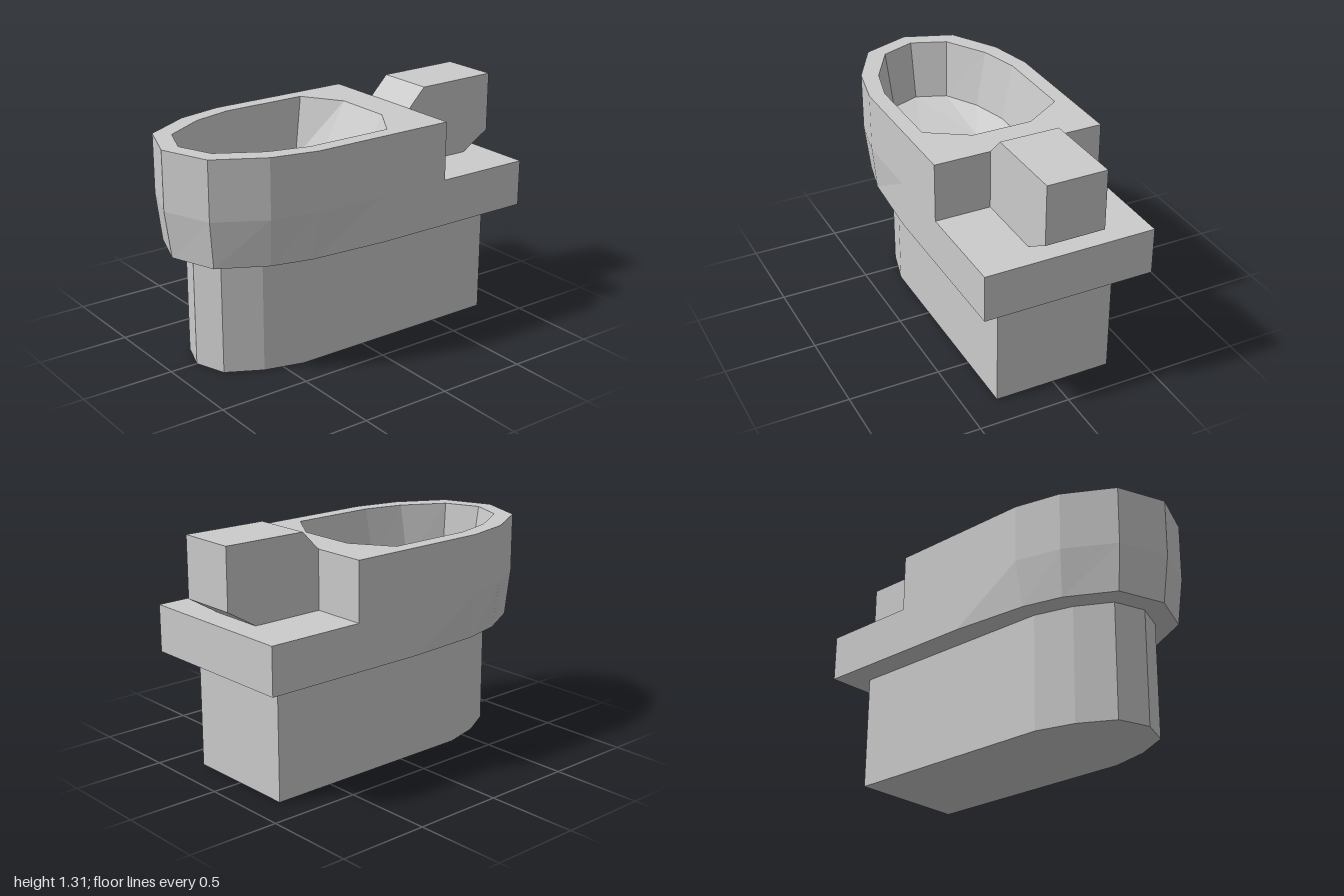
import * as THREE from 'three';

const material = new THREE.MeshStandardMaterial({ color: 0xcccccc, flatShading: true });

// Full closed loop [x, y, z] from half an outline [x, z, y?], mirrored across z
function loop(half, y) {
  const pts = half.map(([x, z, py]) => [x, py ?? y, z]);
  const mirrored = pts.filter((p) => p[2] !== 0).reverse().map(([x, py, z]) => [x, py, -z]);
  return [...pts, ...mirrored];
}

// Faceted geometry from convex polygons, each split as a fan
function polygons(faces) {
  const pos = [];
  for (const f of faces)
    for (let i = 1; i < f.length - 1; i++) pos.push(...f[0], ...f[i], ...f[i + 1]);
  const g = new THREE.BufferGeometry();
  g.setAttribute('position', new THREE.Float32BufferAttribute(pos, 3));
  g.computeVertexNormals();
  return g;
}

// Wall between two loops; lower-to-upper faces outward, upper-to-lower inward
function wall(a, b) {
  return polygons(a.map((p, i) => {
    const j = (i + 1) % a.length;
    return [p, a[j], b[j], b[i]];
  }));
}

const flat = (pts) => pts.map(([x, , z]) => new THREE.Vector2(x, -z));

// Horizontal face, optionally with a hole
function cap(outer, up, hole) {
  const shape = new THREE.Shape(flat(outer));
  if (hole) shape.holes.push(new THREE.Path(flat(hole)));
  const g = new THREE.ShapeGeometry(shape);
  g.rotateX(up ? -Math.PI / 2 : Math.PI / 2);
  g.translate(0, outer[0][1], 0);
  return g;
}

export function createModel() {
  const model = new THREE.Group();
  const add = (name, geometry, parent = model) => {
    const mesh = new THREE.Mesh(geometry, material);
    mesh.name = name;
    parent.add(mesh);
  };
  const group = (name) => {
    const g = new THREE.Group();
    g.name = name;
    model.add(g);
    return g;
  };

  const SHELF = 0.885, RIM = 1.205, UNDER = 0.63, FLOOR = 0.82;

  // Pedestal: straight block with a rounded nose
  const footHalf = [[-0.845, 0], [-0.785, 0.17], [-0.6, 0.27], [-0.39, 0.325], [0.835, 0.325]];
  const foot = loop(footHalf, 0);
  const footTop = loop(footHalf, UNDER);
  const pedestal = group('pedestal');
  add('pedestalWall', wall(foot, footTop), pedestal);
  add('pedestalBase', cap(foot, false), pedestal);

  // Lower body: nose tapers inward towards the underside, back forms a shelf
  const nose = [[-1, 0], [-0.9, 0.265], [-0.64, 0.412], [-0.39, 0.467]];
  const under = loop([[-0.965, 0], [-0.875, 0.25], [-0.625, 0.385], [-0.41, 0.437],
    [0.02, 0.467], [0.975, 0.467]], UNDER);
  const shelf = loop([...nose, [0.02, 0.467], [0.975, 0.467]], SHELF);
  const lower = group('lowerBody');
  add('lowerWall', wall(under, shelf), lower);
  add('underside', cap(under, false), lower);
  add('rearShelf', polygons([[[0.43, SHELF, 0.467], [0.975, SHELF, 0.467],
    [0.975, SHELF, -0.467], [0.43, SHELF, -0.467]]]), lower);

  // Upper body and rim
  const bowlHalf = [...nose, [0.43, 0.467]];
  const rim = loop(bowlHalf, RIM);
  const opening = loop([[-0.905, 0], [-0.83, 0.19], [-0.6, 0.325], [-0.38, 0.382],
    [0.1, 0.382], [0.24, 0.165]], RIM);
  const upper = group('bowl');
  add('bowlWall', wall(loop(bowlHalf, SHELF), rim), upper);
  add('rim', cap(rim, true, opening), upper);

  // Basin: steep sides, sloping rear, shallow dished floor
  const basin = loop([[-0.85, 0], [-0.785, 0.165], [-0.6, 0.27], [-0.39, 0.325],
    [0.025, 0.325], [0.025, 0.165, FLOOR]], SHELF);
  add('basinWall', wall(opening, basin), upper);
  const [tip, a, b, c, d, e] = basin;
  const m = [-0.39, FLOOR, 0.165];
  const flip = ([x, y, z]) => [x, y, -z];
  const sides = [[a, b, c, m], [m, c, d, e]];
  add('basinFloor', polygons([
    ...sides,
    ...sides.map((f) => f.map(flip).reverse()),
    [tip, a, m, flip(m), flip(a)],
    [m, e, flip(e), flip(m)],
  ]), upper);

  // Tank: bevelled side profile extruded across the width
  const profile = [[0.43, SHELF], [0.835, SHELF], [1, 0.985], [1, 1.312],
    [0.53, 1.308], [0.43, RIM]];
  const tank = new THREE.ExtrudeGeometry(
    new THREE.Shape(profile.map(([x, y]) => new THREE.Vector2(x, y))),
    { depth: 0.325, bevelEnabled: false });
  tank.translate(0, 0, -0.1625);
  add('tank', tank);

  return model;
}
